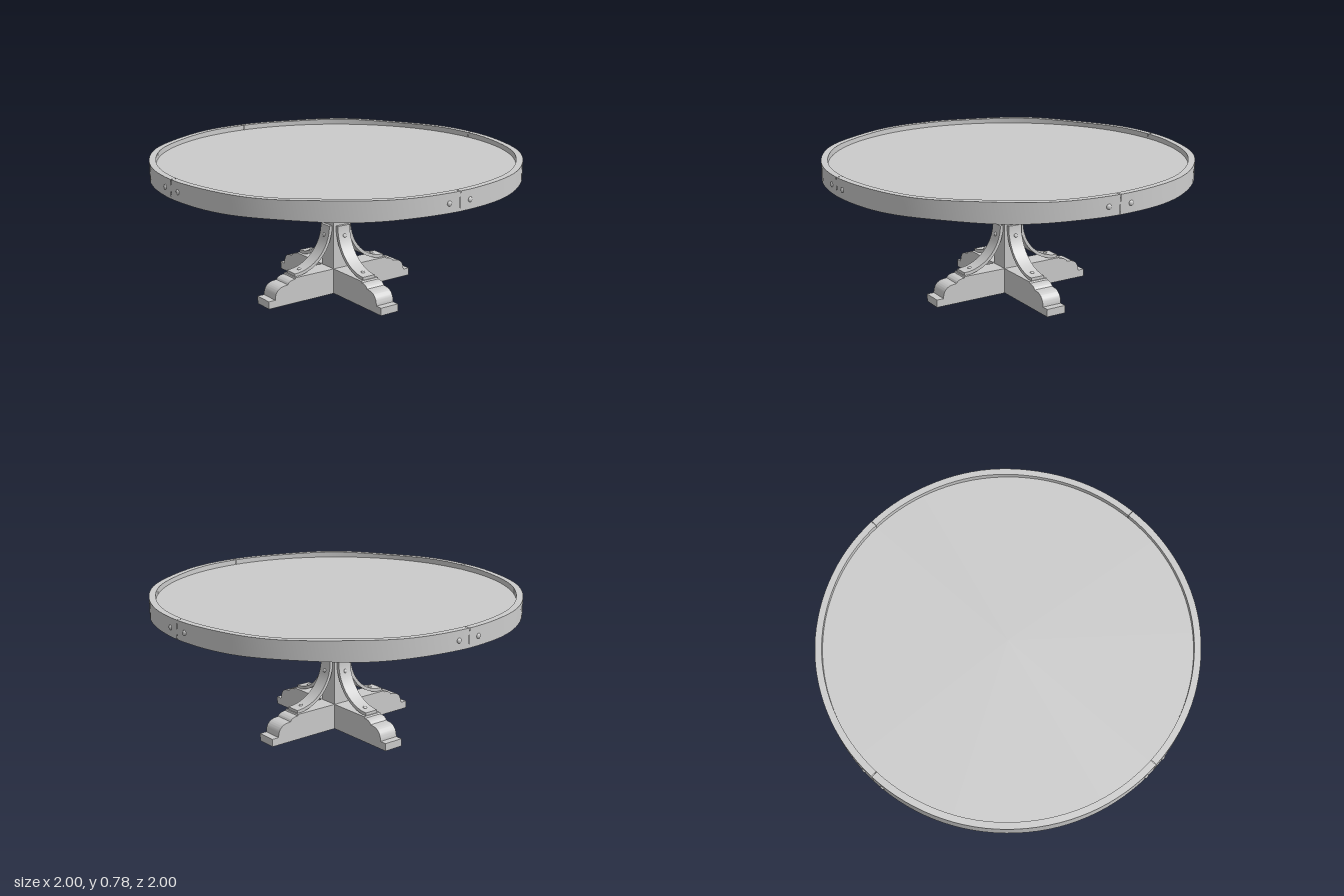
import * as THREE from 'three';
import { toCreasedNormals } from 'three/addons/utils/BufferGeometryUtils.js';

const UP = new THREE.Vector3(0, 1, 0);

export function createModel() {
  const table = new THREE.Group();
  table.name = 'roundPedestalTable';
  const mat = new THREE.MeshStandardMaterial({ color: 0xcccccc });
  const domeGeo = new THREE.SphereGeometry(1, 12, 5, 0, Math.PI * 2, 0, Math.PI / 2);

  const add = (parent, name, geo) => {
    const mesh = new THREE.Mesh(geo, mat);
    mesh.name = name;
    parent.add(mesh);
    return mesh;
  };

  // Flattened dome rivet whose axis points along dir
  const addRivet = (parent, name, pos, dir, radius) => {
    const rivet = add(parent, name, domeGeo);
    rivet.position.set(...pos);
    rivet.scale.set(radius, radius * 0.6, radius);
    rivet.quaternion.setFromUnitVectors(UP, new THREE.Vector3(...dir).normalize());
  };

  // Extrudes a side profile (x outward, y up), centred across its width
  const extrude = (shape, width) => {
    const geo = new THREE.ExtrudeGeometry(shape, { depth: width, bevelEnabled: false, curveSegments: 16 });
    geo.translate(0, 0, -width / 2);
    return toCreasedNormals(geo, 0.6);
  };

  // Recessed table panel
  const panel = add(table, 'tablePanel', new THREE.CylinderGeometry(0.962, 0.962, 0.06, 96));
  panel.position.y = 0.714;

  // Slightly wavy hammered rim band, in four quarters meeting at the axes
  const gap = 0.0012;
  const band = [[0.958, 0.673], [0.993, 0.673], [0.993, 0.772], [0.958, 0.772], [0.958, 0.673]]
    .map(([r, y]) => new THREE.Vector2(r, y));
  const rimGeo = new THREE.LatheGeometry(band, 30, gap, Math.PI / 2 - gap * 2);
  const p = rimGeo.attributes.position;
  for (let i = 0; i < p.count; i++) {
    const a = Math.atan2(p.getX(i), p.getZ(i));
    const top = p.getY(i) > 0.72;
    p.setY(i, p.getY(i) + 0.0035 * Math.sin(a * 8 + (top ? 0.5 : 2.2)) * Math.sin(a * 2));
  }
  const rim = toCreasedNormals(rimGeo, 0.6);

  // Square post
  const post = add(table, 'post', new THREE.BoxGeometry(0.112, 0.69, 0.112));
  post.position.y = 0.345;

  // Foot profile with stepped, scrolled end
  const foot = new THREE.Shape();
  foot.moveTo(0.05, 0);
  foot.lineTo(0.478, 0);
  foot.lineTo(0.478, 0.042);
  foot.lineTo(0.438, 0.042);
  foot.bezierCurveTo(0.437, 0.078, 0.42, 0.108, 0.375, 0.11);
  foot.lineTo(0.358, 0.112);
  foot.quadraticCurveTo(0.347, 0.134, 0.31, 0.134);
  foot.lineTo(0.306, 0.142);
  foot.lineTo(0.05, 0.142);
  foot.closePath();
  const footGeo = extrude(foot, 0.112);

  // Curved brace strip hugging the post and foot
  const cx = 0.3, cy = 0.385, rIn = 0.227, rOut = 0.245;
  const brace = new THREE.Shape();
  brace.absarc(cx, cy, rOut, Math.PI, Math.PI * 1.5, false);
  brace.absarc(cx, cy, rIn, Math.PI * 1.5, Math.PI, true);
  brace.closePath();
  const braceGeo = extrude(brace, 0.08);

  // One side of the table, repeated around the centre
  for (let i = 0; i < 4; i++) {
    const side = new THREE.Group();
    side.name = 'side' + (i + 1);
    side.rotation.y = i * Math.PI / 2;
    table.add(side);

    const quarter = add(side, 'rimQuarter', rim);
    quarter.material = mat.clone();
    quarter.material.side = THREE.DoubleSide;
    add(side, 'foot', footGeo);
    add(side, 'brace', braceGeo);

    for (const a of [-0.065, 0.065]) {
      const dir = [Math.cos(a), 0, Math.sin(a)];
      addRivet(side, 'rimRivet', [dir[0] * 0.992, 0.721, dir[2] * 0.992], dir, 0.014);
    }
    addRivet(side, 'postRivetUpper', [0.056, 0.635, 0], [1, 0, 0], 0.014);
    addRivet(side, 'postRivetLower', [0.056, 0.43, 0], [1, 0, 0], 0.01);
    for (const a of [0.25, 1.33]) {
      const c = Math.cos(a), s = Math.sin(a);
      addRivet(side, 'braceRivet', [cx - c * rIn, cy - s * rIn, 0], [c, s, 0], 0.011);
    }
  }
  return table;
}
